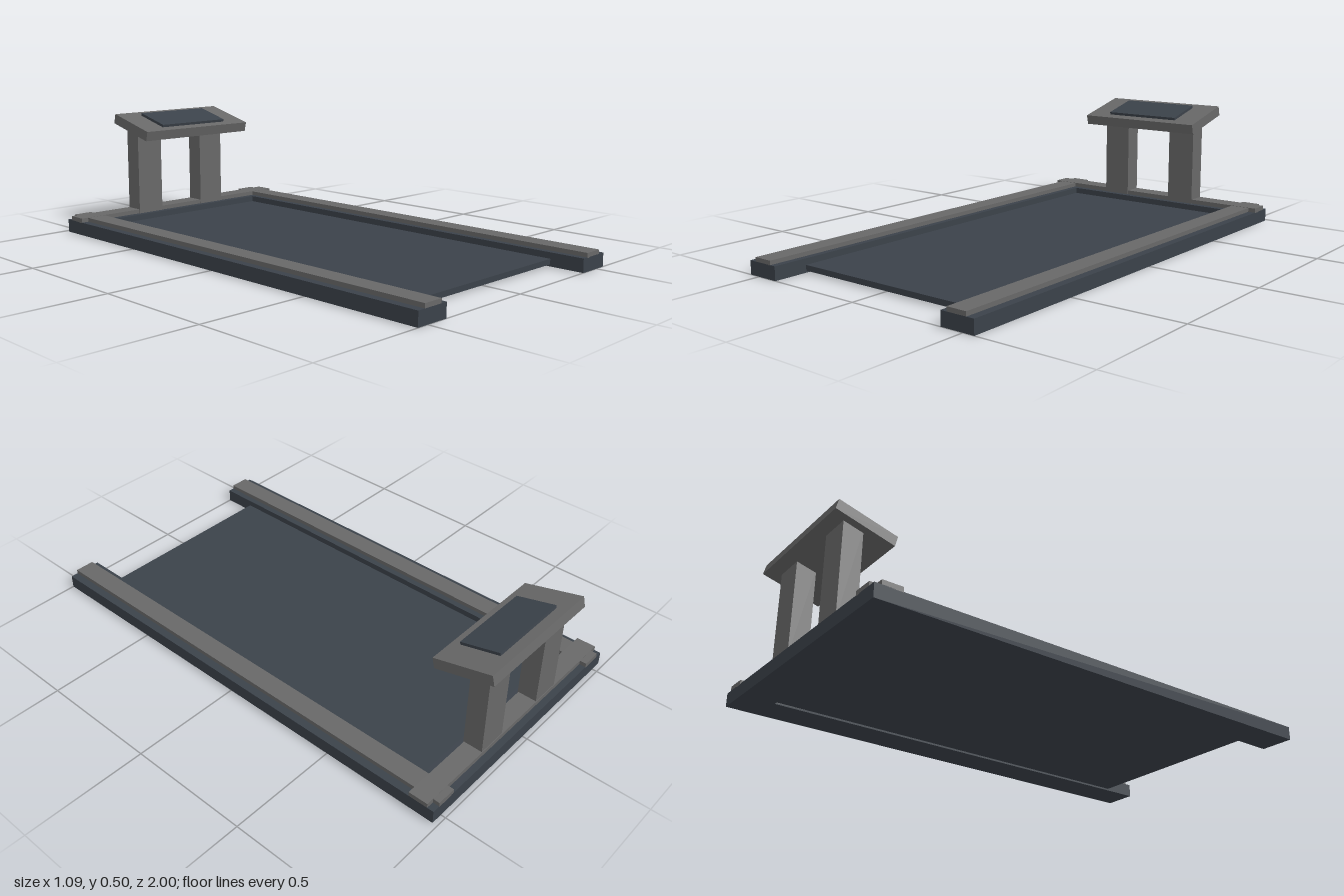
import * as THREE from 'three';

export function createModel() {
  const model = new THREE.Group();
  model.name = 'treadmill';

  const dark = new THREE.MeshStandardMaterial({ color: 0x3b424a });
  dark.name = 'dark slate';
  const grey = new THREE.MeshStandardMaterial({ color: 0x686868 });
  grey.name = 'mid grey';

  // Box given by its extents along each axis
  function box(name, material, [x0, x1], [y0, y1], [z0, z1], parent = model) {
    const mesh = new THREE.Mesh(new THREE.BoxGeometry(x1 - x0, y1 - y0, z1 - z0), material);
    mesh.position.set((x0 + x1) / 2, (y0 + y1) / 2, (z0 + z1) / 2);
    mesh.name = name;
    parent.add(mesh);
    return mesh;
  }

  // U-shaped base frame, open at the front, with the running belt inside
  box('leftBaseRail', dark, [0.407, 0.547], [0, 0.055], [-0.98, 1]);
  box('rightBaseRail', dark, [-0.547, -0.407], [0, 0.055], [-0.98, 1]);
  box('rearBaseBeam', dark, [-0.407, 0.407], [0, 0.055], [-0.98, -0.845]);
  box('runningBelt', dark, [-0.407, 0.407], [0.008, 0.03], [-0.845, 0.858]);

  // Raised grey strips on the frame
  box('leftFootStrip', grey, [0.433, 0.515], [0.052, 0.072], [-0.98, 1]);
  box('rightFootStrip', grey, [-0.515, -0.433], [0.052, 0.072], [-0.98, 1]);
  box('rearCrossStrip', grey, [-0.547, 0.547], [0.053, 0.073], [-0.953, -0.873]);

  // Posts carrying the console
  box('leftPost', grey, [0.103, 0.228], [0.055, 0.444], [-0.95, -0.87]);
  box('rightPost', grey, [-0.246, -0.121], [0.055, 0.444], [-0.95, -0.87]);

  // Console tilted towards the runner, with its screen
  const console = new THREE.Group();
  console.name = 'console';
  console.position.set(0.004, 0.4465, -0.875);
  console.rotation.x = 0.25;
  model.add(console);
  box('consoleSlab', grey, [-0.284, 0.284], [-0.0215, 0.0215], [-0.124, 0.124], console);
  box('consoleScreen', dark, [-0.174, 0.174], [0.0215, 0.033], [-0.079, 0.087], console);

  return model;
}
